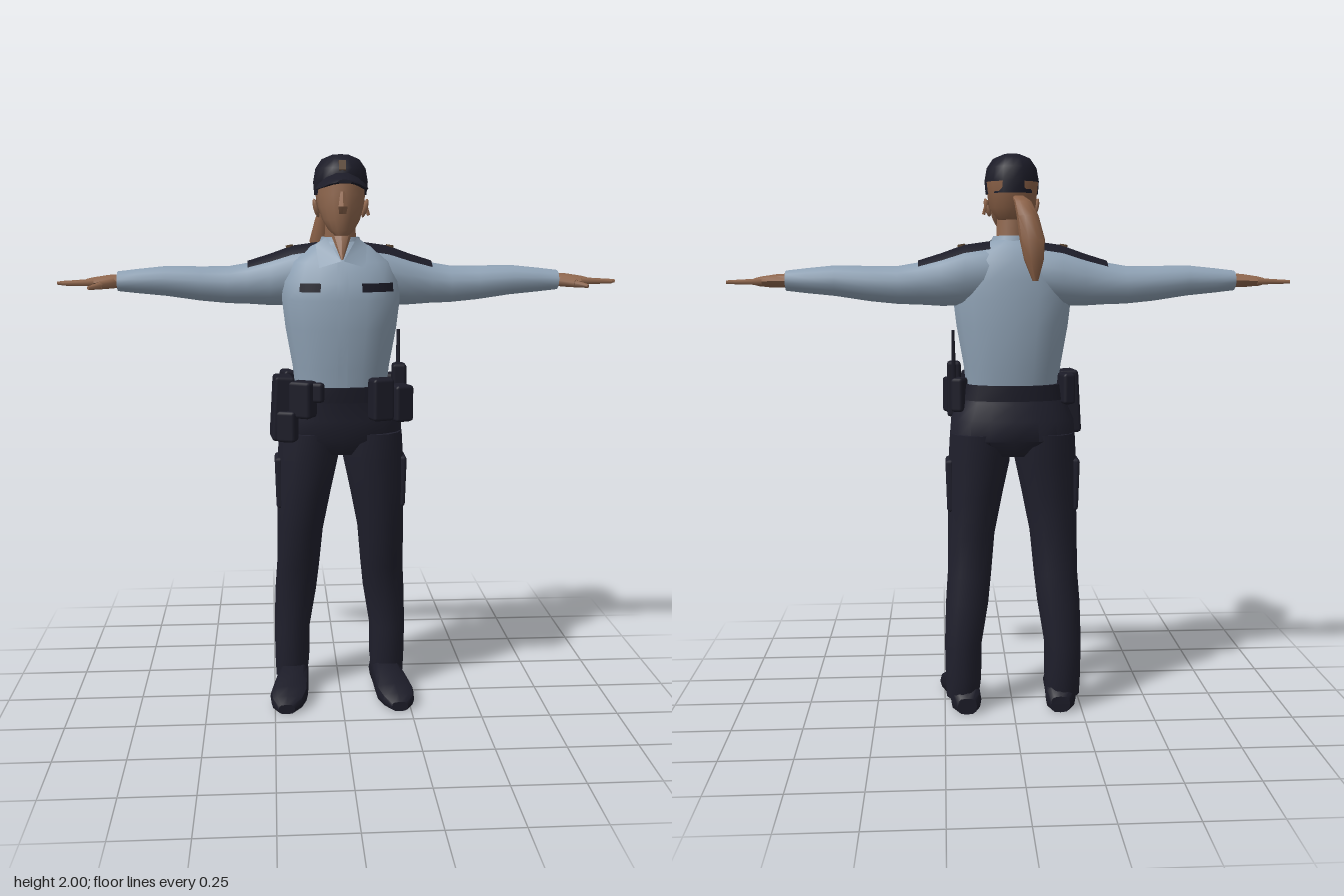
import * as THREE from 'three';
import { toCreasedNormals } from 'three/addons/utils/BufferGeometryUtils.js';
import { RoundedBoxGeometry } from 'three/addons/geometries/RoundedBoxGeometry.js';

const mat = (name, color, side = THREE.FrontSide) => {
  const m = new THREE.MeshStandardMaterial({ color, side });
  m.name = name;
  return m;
};

// Loft through rings [x, y, z, a, b] stacked along an axis.
// Half sizes: axis y -> a in x, b in z; axis x -> a in y, b in z; axis z -> a in x, b in y.
function loft(rings, axis, { n = 14, pow = 1, arc = null, grow = 0, warp = null, crease = 0.75 } = {}) {
  const pos = [], idx = [], k = 'xyz'.indexOf(axis);
  const cols = arc ? n + 1 : n;
  const flip = rings[rings.length - 1][k] < rings[0][k];
  const tri = (a, b, c) => (flip ? idx.push(a, c, b) : idx.push(a, b, c));
  const curve = (v) => Math.sign(v) * Math.abs(v) ** pow;
  for (const [x, y, z, a, b] of rings) {
    for (let i = 0; i < cols; i++) {
      const t = arc ? arc[0] + (arc[1] - arc[0]) * i / n : i / n * Math.PI * 2;
      const c = curve(Math.cos(t)), s = curve(Math.sin(t)), A = a + grow, B = b + grow;
      const p = axis === 'y' ? [x + A * s, y, z + B * c]
        : axis === 'x' ? [x, y + A * c, z + B * s] : [x + A * c, y + B * s, z];
      if (warp) p[1] += warp(p[0]);
      pos.push(...p);
    }
  }
  for (let r = 0; r < rings.length - 1; r++) for (let i = 0; i < n; i++) {
    const j = (i + 1) % cols, a = r * cols + i, b = r * cols + j;
    tri(a, b, b + cols);
    tri(a, b + cols, a + cols);
  }
  if (!arc) { // end caps
    const top = (rings.length - 1) * cols;
    for (let i = 1; i < n - 1; i++) { tri(0, i + 1, i); tri(top, top + i, top + i + 1); }
  }
  const g = new THREE.BufferGeometry();
  g.setAttribute('position', new THREE.Float32BufferAttribute(pos, 3));
  g.setIndex(idx);
  return toCreasedNormals(g, crease);
}

export function createModel() {
  const model = new THREE.Group();
  model.name = 'uniformedOfficer';
  const shirt = mat('shirtBlue', 0x8fa2b5), shirtThin = mat('collarBlue', 0x8fa2b5, THREE.DoubleSide);
  const navy = mat('trouserNavy', 0x20202d), dark = mat('gearNavy', 0x1c1c28);
  const skin = mat('skin', 0x8f674e), hair = mat('hairBrown', 0x8c6248), brass = mat('dullBrass', 0x5c4632);

  const add = (name, geo, m, p = [0, 0, 0], r = [0, 0, 0]) => {
    const mesh = new THREE.Mesh(geo, m);
    mesh.name = name;
    mesh.position.set(...p);
    mesh.rotation.set(...r);
    model.add(mesh);
    return mesh;
  };
  const rod = (name, p, q, r1, r2, m, sides = 6) => {
    const a = new THREE.Vector3(...p), b = new THREE.Vector3(...q), d = b.clone().sub(a);
    const mesh = add(name, new THREE.CylinderGeometry(r2, r1, d.length(), sides), m);
    mesh.position.copy(a.add(b).multiplyScalar(0.5));
    mesh.quaternion.setFromUnitVectors(new THREE.Vector3(0, 1, 0), d.normalize());
  };
  const pouch = (name, p, size, ry = 0, rz = 0) =>
    add(name, new RoundedBoxGeometry(...size, 1, 0.012), dark, p, [0, ry, rz]);

  // Shirt body and front placket
  const torso = [
    [0, 1.17, -0.01, 0.165, 0.125], [0, 1.26, -0.012, 0.175, 0.135], [0, 1.4, -0.01, 0.2, 0.15],
    [0, 1.5, -0.01, 0.212, 0.145], [0, 1.56, -0.012, 0.208, 0.14], [0, 1.63, -0.025, 0.18, 0.115],
    [0, 1.68, -0.03, 0.115, 0.085], [0, 1.7, -0.025, 0.07, 0.07]];
  add('shirtBody', loft(torso, 'y', { n: 18, pow: 0.85 }), shirt);
  add('placket', loft(torso.slice(0, 6), 'y', { n: 2, pow: 0.85, arc: [-0.06, 0.06], grow: 0.004 }), shirt);
  const tag = [[0, 1.53, -0.011, 0.211, 0.143], [0, 1.56, -0.012, 0.208, 0.14]];
  add('leftChestTag', loft(tag, 'y', { n: 6, pow: 0.85, arc: [0.255, 0.93], grow: 0.006 }), dark);
  add('rightChestTag', loft(tag, 'y', { n: 6, pow: 0.85, arc: [-0.7, -0.3], grow: 0.006 }), dark);

  // Collar
  add('collarBand', loft([[0, 1.66, -0.025, 0.09, 0.085], [0, 1.715, -0.025, 0.068, 0.068]], 'y'), shirt);
  add('openNeck', loft([[0, 1.64, 0.09, 0.004, 0.012], [0, 1.72, 0.035, 0.035, 0.02]], 'y', { n: 8 }), skin);

  // Pelvis and belt
  add('hips', loft([
    [0, 0.94, -0.03, 0.17, 0.09], [0, 1.0, -0.035, 0.228, 0.135], [0, 1.07, -0.033, 0.222, 0.135],
    [0, 1.13, -0.02, 0.195, 0.13], [0, 1.19, -0.01, 0.172, 0.13]], 'y', { n: 18, pow: 0.9 }), navy);
  add('belt', loft([[0, 1.14, -0.012, 0.197, 0.137], [0, 1.195, -0.01, 0.182, 0.138]], 'y',
    { n: 18, pow: 0.88 }), dark);

  for (const s of [1, -1]) {
    const side = s > 0 ? 'left' : 'right';
    const mir = (rings) => rings.map(([x, ...rest]) => [x * s, ...rest]);

    // Sleeve and shoulder strap
    const sleeve = mir([
      [0.08, 1.59, -0.045, 0.1, 0.09], [0.17, 1.575, -0.055, 0.102, 0.095], [0.25, 1.56, -0.06, 0.088, 0.083],
      [0.33, 1.55, -0.066, 0.073, 0.075], [0.4, 1.545, -0.068, 0.066, 0.072], [0.5, 1.55, -0.065, 0.061, 0.068],
      [0.62, 1.56, -0.058, 0.053, 0.062], [0.72, 1.56, -0.055, 0.043, 0.052], [0.79, 1.56, -0.052, 0.035, 0.045]]);
    add(side + 'Sleeve', loft(sleeve, 'x'), shirt);
    add(side + 'ShoulderStrap', loft(sleeve.slice(0, 4), 'x', { n: 6, arc: [-0.75, 0.75], grow: 0.007 }), dark);
    add(side + 'StrapBadge', new THREE.CylinderGeometry(0.015, 0.015, 0.008, 6), brass,
      [s * 0.18, 1.682, -0.055], [0, 0, -s * 0.17]);

    // Hand
    add(side + 'Palm', loft(mir([
      [0.77, 1.56, -0.052, 0.025, 0.034], [0.82, 1.56, -0.048, 0.023, 0.04],
      [0.88, 1.557, -0.045, 0.017, 0.045], [0.9, 1.557, -0.045, 0.012, 0.042]], 'x'), 'x', { n: 8 }), skin);
    [[-0.08, 0.965, -0.085], [-0.057, 0.99, -0.065], [-0.034, 1.0, -0.035], [-0.012, 0.98, -0.002]].forEach(
      ([z0, x1, z1], i) => rod(side + 'Finger' + (i + 1), [s * 0.87, 1.557, z0], [s * x1, 1.555, z1], 0.013, 0.007, skin));
    rod(side + 'Thumb', [s * 0.8, 1.555, -0.03], [s * 0.845, 1.55, 0.018], 0.02, 0.015, skin);
    rod(side + 'ThumbTip', [s * 0.84, 1.55, 0.012], [s * 0.88, 1.543, 0.052], 0.015, 0.007, skin);

    // Trouser leg, thigh pocket and shoe
    add(side + 'TrouserLeg', loft(mir([
      [0.185, 0.05, -0.08, 0.06, 0.06], [0.182, 0.12, -0.08, 0.066, 0.072], [0.182, 0.25, -0.08, 0.068, 0.075],
      [0.167, 0.4, -0.073, 0.078, 0.077], [0.158, 0.5, -0.055, 0.08, 0.084], [0.15, 0.65, -0.033, 0.086, 0.098],
      [0.134, 0.8, -0.028, 0.1, 0.112], [0.12, 0.92, -0.028, 0.112, 0.123], [0.114, 1.02, -0.032, 0.112, 0.13]]),
      'y', { pow: 0.92 }), navy);
    add(side + 'ThighPocket', new RoundedBoxGeometry(0.03, 0.19, 0.12, 1, 0.012), navy,
      [s * 0.224, 0.83, -0.03], [0, 0, -s * 0.03]);
    add(side + 'Shoe', loft(mir([
      [0.17, 0.03, -0.155, 0.035, 0.03], [0.173, 0.045, -0.125, 0.055, 0.045], [0.178, 0.055, -0.03, 0.056, 0.055],
      [0.188, 0.046, 0.04, 0.064, 0.046], [0.198, 0.036, 0.1, 0.07, 0.036], [0.205, 0.028, 0.15, 0.058, 0.028],
      [0.208, 0.018, 0.183, 0.03, 0.018]]), 'z', { n: 12, pow: 0.65 }), dark);

    // Collar flap and ear
    const flap = new THREE.BufferGeometry();
    flap.setAttribute('position', new THREE.Float32BufferAttribute([
      s * 0.004, 1.635, 0.108, s * 0.055, 1.715, 0.045, s * 0.09, 1.69, 0.03, s * 0.08, 1.612, 0.1], 3));
    flap.setIndex(s > 0 ? [0, 2, 1, 0, 3, 2] : [0, 1, 2, 0, 2, 3]);
    flap.computeVertexNormals();
    add(side + 'CollarFlap', flap, shirtThin);
    const ear = add(side + 'Ear', new THREE.SphereGeometry(1, 8, 6), skin, [s * 0.086, 1.815, -0.005], [0.2, 0, -s * 0.25]);
    ear.scale.set(0.01, 0.034, 0.02);
  }

  // Neck, head and nose
  add('neck', loft([[0, 1.64, -0.03, 0.06, 0.055], [0, 1.8, -0.015, 0.052, 0.058]], 'y'), skin);
  add('head', loft([
    [0, 1.722, 0.07, 0.024, 0.03], [0, 1.74, 0.05, 0.045, 0.058], [0, 1.775, 0.025, 0.066, 0.09],
    [0, 1.82, 0.006, 0.08, 0.115], [0, 1.86, 0.0, 0.086, 0.118], [0, 1.9, 0, 0.086, 0.115]], 'y', { n: 16 }), skin);
  add('nose', loft([
    [0, 1.795, 0.11, 0.014, 0.012], [0, 1.82, 0.122, 0.018, 0.03], [0, 1.87, 0.112, 0.009, 0.012]], 'y', { n: 6 }), skin);

  // Hair at the back of the head, and the ponytail
  add('backHair', loft([
    [0, 1.77, -0.045, 0.05, 0.04], [0, 1.81, -0.045, 0.082, 0.07], [0, 1.9, -0.035, 0.092, 0.088]], 'y'), hair);
  add('ponytail', loft([
    [-0.015, 1.85, -0.1, 0.022, 0.02], [-0.03, 1.83, -0.14, 0.03, 0.025], [-0.045, 1.78, -0.168, 0.038, 0.033],
    [-0.06, 1.7, -0.185, 0.044, 0.036], [-0.065, 1.63, -0.193, 0.034, 0.03], [-0.07, 1.56, -0.192, 0.01, 0.01]],
    'y', { n: 9 }), hair);
  rod('hairStrand', [0.085, 1.84, -0.02], [0.1, 1.79, -0.015], 0.007, 0.006, hair, 5);

  // Peaked cap
  add('capCrown', loft([
    [0, 1.86, -0.018, 0.092, 0.105], [0, 1.905, -0.008, 0.096, 0.116], [0, 1.95, -0.008, 0.088, 0.108],
    [0, 1.982, -0.01, 0.066, 0.084], [0, 1.997, -0.01, 0.03, 0.042]], 'y', { n: 16 }), dark);
  add('capPeak', loft([
    [0, 1.92, 0.04, 0.09, 0.022], [0, 1.918, 0.11, 0.089, 0.016], [0, 1.91, 0.17, 0.074, 0.012],
    [0, 1.905, 0.21, 0.05, 0.009], [0, 1.902, 0.23, 0.024, 0.006]], 'z',
    { n: 14, warp: (x) => -5 * x * x }), dark);
  add('capButton', new THREE.CylinderGeometry(0.008, 0.012, 0.006, 8), dark, [0, 1.997, -0.01]);
  add('capBadge', new THREE.BoxGeometry(0.024, 0.034, 0.006), brass, [0, 1.958, 0.097], [-0.35, 0, 0]);

  // Belt equipment
  pouch('holster', [-0.213, 1.12, 0.07], [0.07, 0.23, 0.11], 0.1, -0.06);
  pouch('holsterTip', [-0.195, 1.06, 0.115], [0.07, 0.11, 0.06], -0.3);
  pouch('rightFrontPouch', [-0.14, 1.155, 0.115], [0.085, 0.13, 0.07], -0.5);
  pouch('rightSmallPouch', [-0.09, 1.18, 0.125], [0.05, 0.07, 0.04], -0.3);
  pouch('rightRearPouch', [-0.19, 1.18, -0.075], [0.045, 0.11, 0.08], 0.3);
  pouch('radio', [0.208, 1.17, 0.03], [0.05, 0.2, 0.07]);
  pouch('leftSidePouch', [0.205, 1.14, 0.11], [0.07, 0.13, 0.08], 0.4);
  pouch('leftFrontPouch', [0.135, 1.155, 0.125], [0.08, 0.15, 0.065], 0.35);
  pouch('leftRearPouch', [0.19, 1.16, -0.075], [0.045, 0.12, 0.08], -0.3);
  rod('radioAntenna', [0.208, 1.2, -0.005], [0.211, 1.385, -0.03], 0.01, 0.006, dark);
  return model;
}
